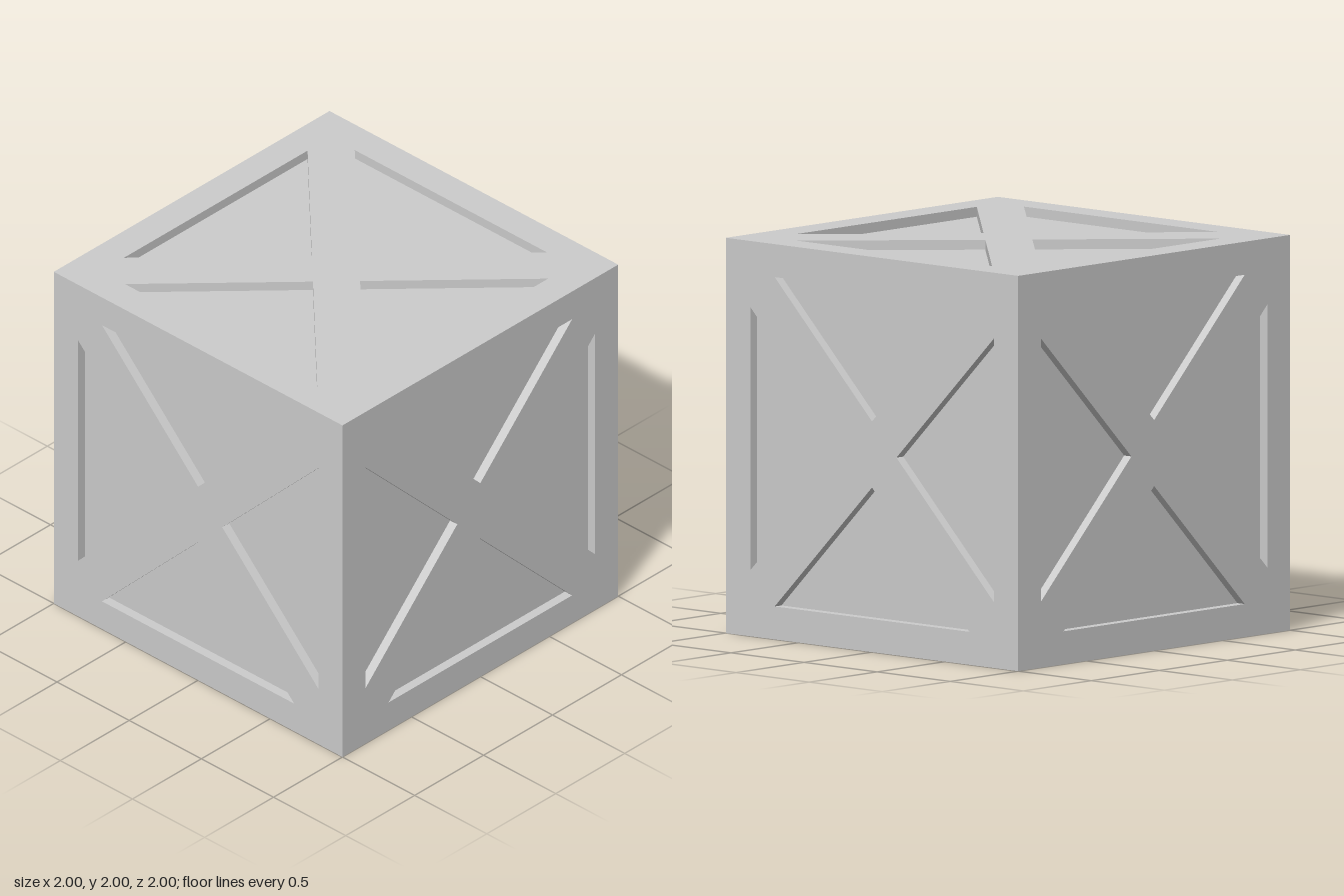
import * as THREE from 'three';

const HALF = 1;       // half the cube's side
const DEPTH = 0.05;   // depth of the recesses
const RIM = 0.833;    // outer edge of each triangular recess
const GAP = 0.167;    // tip of each recess, from the face centre

// One cube face: a square plate with four triangular openings
function makeFaceGeometry() {
  const shape = new THREE.Shape([
    new THREE.Vector2(-HALF, -HALF), new THREE.Vector2(HALF, -HALF),
    new THREE.Vector2(HALF, HALF), new THREE.Vector2(-HALF, HALF),
  ]);
  const centre = new THREE.Vector2();
  const triangle = [[0, GAP], [RIM - GAP, RIM], [GAP - RIM, RIM]];
  for (let i = 0; i < 4; i++) {
    const corners = triangle.map(([x, y]) =>
      new THREE.Vector2(x, y).rotateAround(centre, i * Math.PI / 2));
    shape.holes.push(new THREE.Path(corners));
  }
  const geometry = new THREE.ExtrudeGeometry(shape, { depth: DEPTH, bevelEnabled: false });
  geometry.translate(0, 0, HALF - DEPTH);

  // Mitre the outer rim so neighbouring plates meet along the cube's edges
  const p = geometry.attributes.position;
  for (let i = 0; i < p.count; i++) {
    if (p.getZ(i) > HALF - DEPTH / 2) continue;
    const limit = HALF - DEPTH;
    p.setX(i, THREE.MathUtils.clamp(p.getX(i), -limit, limit));
    p.setY(i, THREE.MathUtils.clamp(p.getY(i), -limit, limit));
  }
  geometry.computeVertexNormals();
  return geometry;
}

export function createModel() {
  const model = new THREE.Group();
  model.name = 'crate';
  const material = new THREE.MeshStandardMaterial({ color: 0xcccccc, flatShading: true });

  // Inner block forms the floors of the recesses
  const side = 2 * (HALF - DEPTH);
  const core = new THREE.Mesh(new THREE.BoxGeometry(side, side, side), material);
  core.name = 'recessedPanels';
  core.position.y = HALF;
  model.add(core);

  // Cross-braced frame on each of the six faces
  const faceGeometry = makeFaceGeometry();
  const q = Math.PI / 2;
  const faces = {
    frontFrame: [0, 0], leftFrame: [0, q], backFrame: [0, 2 * q],
    rightFrame: [0, -q], topFrame: [-q, 0], bottomFrame: [q, 0],
  };
  for (const [name, [rx, ry]] of Object.entries(faces)) {
    const frame = new THREE.Mesh(faceGeometry, material);
    frame.name = name;
    frame.rotation.set(rx, ry, 0);
    frame.position.y = HALF;
    model.add(frame);
  }
  return model;
}
